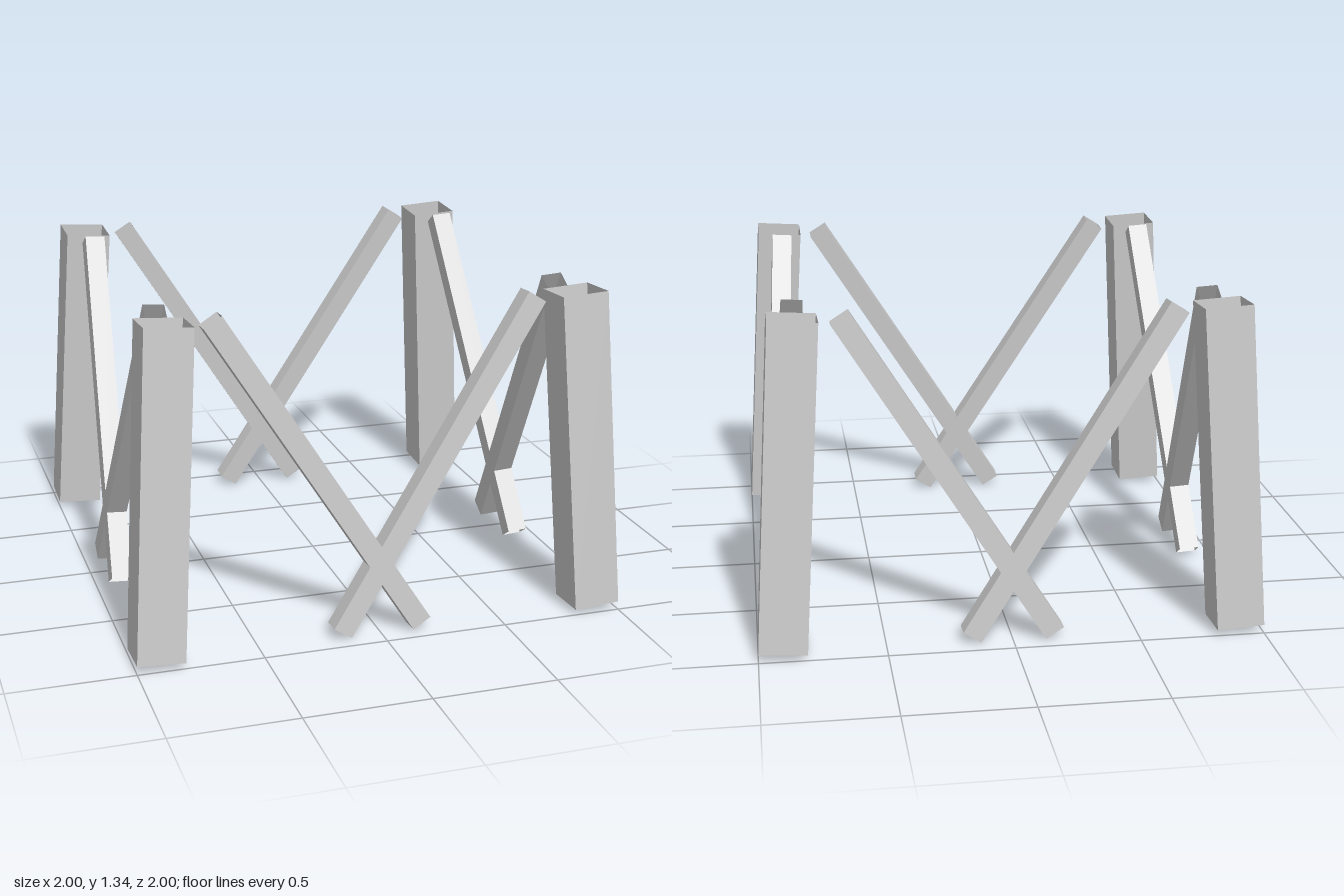
import * as THREE from 'three';

const steel = new THREE.MeshStandardMaterial({ color: 0xcccccc, flatShading: true, side: THREE.DoubleSide });
steel.name = 'grey steel';

// Thin-walled square tube, open at both ends, standing along y
function squareTube(name, width, length) {
  const r = width / Math.SQRT2;
  const geometry = new THREE.CylinderGeometry(r, r, length, 4, 1, true).rotateY(Math.PI / 4);
  const mesh = new THREE.Mesh(geometry, steel);
  mesh.name = name;
  return mesh;
}

// Corner post leaning inwards on both axes
function cornerPost() {
  const bottom = new THREE.Vector3(0.905, 0.025, 0.905);
  const top = new THREE.Vector3(0.825, 1.32, 0.825);
  const axis = top.clone().sub(bottom);
  const post = squareTube('cornerPost', 0.19, axis.length());
  post.position.copy(bottom).add(top).multiplyScalar(0.5);
  post.quaternion.setFromUnitVectors(new THREE.Vector3(0, 1, 0), axis.normalize());
  return post;
}

// Pair of braces crossing low down, in a plane leaning inwards
function crossBrace() {
  const brace = new THREE.Group();
  brace.name = 'crossBrace';
  for (const s of [-1, 1]) {
    const beam = squareTube(s < 0 ? 'braceRight' : 'braceLeft', 0.084, 1.523);
    beam.position.x = s * 0.2415;
    beam.rotation.z = -s * 0.563;
    brace.add(beam);
  }
  brace.position.set(0, 0.67, 0.86);
  brace.rotation.x = -0.0645;
  return brace;
}

export function createModel() {
  const model = new THREE.Group();
  model.name = 'supportFrame';
  // Four equal sides, each with one post and one cross brace
  ['front', 'left', 'back', 'right'].forEach((name, i) => {
    const side = new THREE.Group();
    side.name = name + 'Side';
    side.add(cornerPost(), crossBrace());
    side.rotation.y = i * Math.PI / 2;
    model.add(side);
  });
  return model;
}
